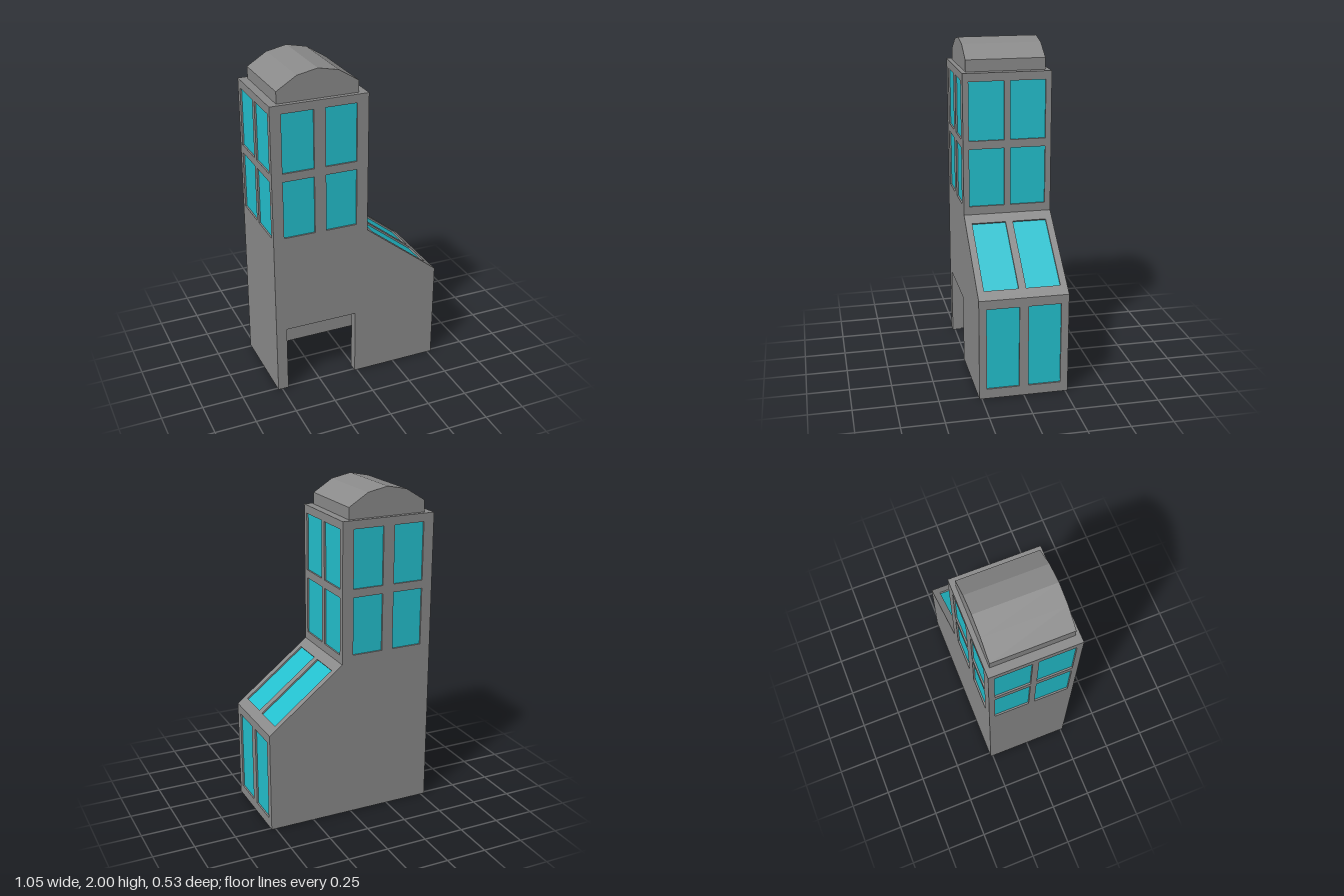
import * as THREE from 'three';

const HALF = 0.265;   // half depth of the building
const WALL = 0.055;   // wall thickness
const RECESS = 0.01;  // how far the panes sit behind the wall face
const DOOR = { x0: -0.46, x1: -0.015, h: 0.42 };

export function createModel() {
  const stone = new THREE.MeshStandardMaterial({ color: 0x8a8a8a, side: THREE.DoubleSide });
  stone.name = 'grey stone';
  const glass = new THREE.MeshStandardMaterial({ color: 0x23c0ce });
  glass.name = 'turquoise glass';

  const model = new THREE.Group();
  model.name = 'tower';

  const shapeOf = (pts) => new THREE.Shape(pts.map(([x, y]) => new THREE.Vector2(x, y)));

  const add = (parent, name, geometry, material) => {
    const mesh = new THREE.Mesh(geometry, material);
    mesh.name = name;
    parent.add(mesh);
    return mesh;
  };

  // Flat wall face in its own xy plane; windows [x0, y0, x1, y1] become recessed panes
  function panel(name, outline, windows = []) {
    const group = new THREE.Group();
    group.name = name;
    const shape = shapeOf(outline);
    for (const [x0, y0, x1, y1] of windows) {
      shape.holes.push(new THREE.Path([[x0, y0], [x0, y1], [x1, y1], [x1, y0]].map(([x, y]) => new THREE.Vector2(x, y))));
      const w = x1 - x0, h = y1 - y0, cx = (x0 + x1) / 2, cy = (y0 + y1) / 2;
      add(group, 'windowPane', new THREE.PlaneGeometry(w, h), glass).position.set(cx, cy, -RECESS);
      for (const s of [-1, 1]) {
        const side = add(group, 'windowReveal', new THREE.PlaneGeometry(RECESS, h), stone);
        side.position.set(cx + s * w / 2, cy, -RECESS / 2);
        side.rotation.y = -s * Math.PI / 2;
        const sill = add(group, 'windowReveal', new THREE.PlaneGeometry(w, RECESS), stone);
        sill.position.set(cx, cy + s * h / 2, -RECESS / 2);
        sill.rotation.x = s * Math.PI / 2;
      }
    }
    add(group, name + 'Face', new THREE.ShapeGeometry(shape), stone);
    model.add(group);
    return group;
  }

  // Faces swept along z under a path in xy; they face left of the path
  function strip(name, path, z0, z1) {
    const v = [];
    for (let i = 0; i + 1 < path.length; i++) {
      const [a, b] = path[i], [c, d] = path[i + 1];
      v.push(a, b, z1, c, d, z1, c, d, z0, a, b, z1, c, d, z0, a, b, z0);
    }
    const geometry = new THREE.BufferGeometry();
    geometry.setAttribute('position', new THREE.Float32BufferAttribute(v, 3));
    geometry.computeVertexNormals();
    add(model, name, geometry, stone);
  }

  // Side wall from a low to a high point of the profile, facing +x (dir 1) or -x (dir -1)
  function sideWall(name, low, high, dir, rows) {
    const p = new THREE.Vector3(low[0], low[1], 0), q = new THREE.Vector3(high[0], high[1], 0);
    const length = p.distanceTo(q);
    const ax = new THREE.Vector3(0, 0, -dir), ay = q.clone().sub(p).normalize();
    const az = ax.clone().cross(ay);
    const windows = rows.flatMap(([y0, y1, in0, out]) => [[in0, y0, out, y1], [-out, y0, -in0, y1]]);
    const g = panel(name, [[-HALF, 0], [HALF, 0], [HALF, length], [-HALF, length]], windows);
    g.quaternion.setFromRotationMatrix(new THREE.Matrix4().makeBasis(ax, ay, az));
    g.position.copy(p);
  }

  // Building profiles, outside and inside, from bottom right round to bottom left
  const outer = [[0.525, 0], [0.525, 0.615], [0.06, 0.98], [0.06, 1.83], [-0.525, 1.83], [-0.525, 0]];
  const inner = [[0.47, 0], [0.47, 0.588], [0.005, 0.953], [0.005, 1.775], [-0.47, 1.775], [-0.47, 0]];
  const notch = [[DOOR.x0, 0], [DOOR.x0, DOOR.h], [DOOR.x1, DOOR.h], [DOOR.x1, 0]];

  // Front and back walls
  const floors = [[1.03, 1.38], [1.43, 1.78]];
  const frontWindows = floors.flatMap(([y0, y1]) => [[-0.46, y0, -0.27, y1], [-0.2, y0, -0.01, y1]]);
  panel('frontWall', [...outer, ...notch], frontWindows).position.z = HALF;
  const back = panel('backWall', outer.map(([x, y]) => [-x, y]),
    frontWindows.map(([x0, y0, x1, y1]) => [-x1, y0, -x0, y1]));
  back.rotation.y = Math.PI;
  back.position.z = -HALF;

  // Side walls, sloping glazed roof and flat tower top
  const towerRows = (base) => floors.map(([y0, y1]) => [y0 - base, y1 - base, 0.018, 0.23]);
  sideWall('rightWall', outer[5], outer[4], -1, towerRows(0));
  sideWall('leftTowerWall', outer[2], outer[3], 1, towerRows(0.98));
  sideWall('slopingRoof', outer[1], outer[2], 1, [[0.064, 0.527, 0.022, 0.225]]);
  sideWall('leftLowerWall', outer[0], outer[1], 1, [[0.06, 0.56, 0.027, 0.22]]);
  strip('towerTop', [outer[4], outer[3]], -HALF, HALF);

  // Hollow inside, open at the bottom
  const inZ = HALF - WALL;
  strip('innerWalls', inner, -inZ, inZ);
  panel('innerBackWall', inner).position.z = -inZ;
  const innerFront = panel('innerFrontWall', [...inner, ...notch].map(([x, y]) => [-x, y]));
  innerFront.rotation.y = Math.PI;
  innerFront.position.z = inZ;
  strip('doorJambs', [...notch].reverse(), inZ, HALF);

  // Bottom edge of the walls, broken by the doorway
  const rim = panel('wallBase', [
    [DOOR.x0, HALF], [-0.525, HALF], [-0.525, -HALF], [0.525, -HALF], [0.525, HALF], [DOOR.x1, HALF],
    [DOOR.x1, inZ], [0.47, inZ], [0.47, -inZ], [-0.47, -inZ], [-0.47, inZ], [DOOR.x0, inZ],
  ]);
  rim.rotation.x = Math.PI / 2;

  // Faceted barrel cap
  const cap = new THREE.ExtrudeGeometry(shapeOf([
    [-0.475, 1.83], [0.01, 1.83], [0.01, 1.9], [-0.11, 1.975], [-0.2325, 2], [-0.355, 1.975], [-0.475, 1.9],
  ]), { depth: 0.476, bevelEnabled: false });
  cap.translate(0, 0, -0.238);
  add(model, 'barrelCap', cap, stone);

  return model;
}
